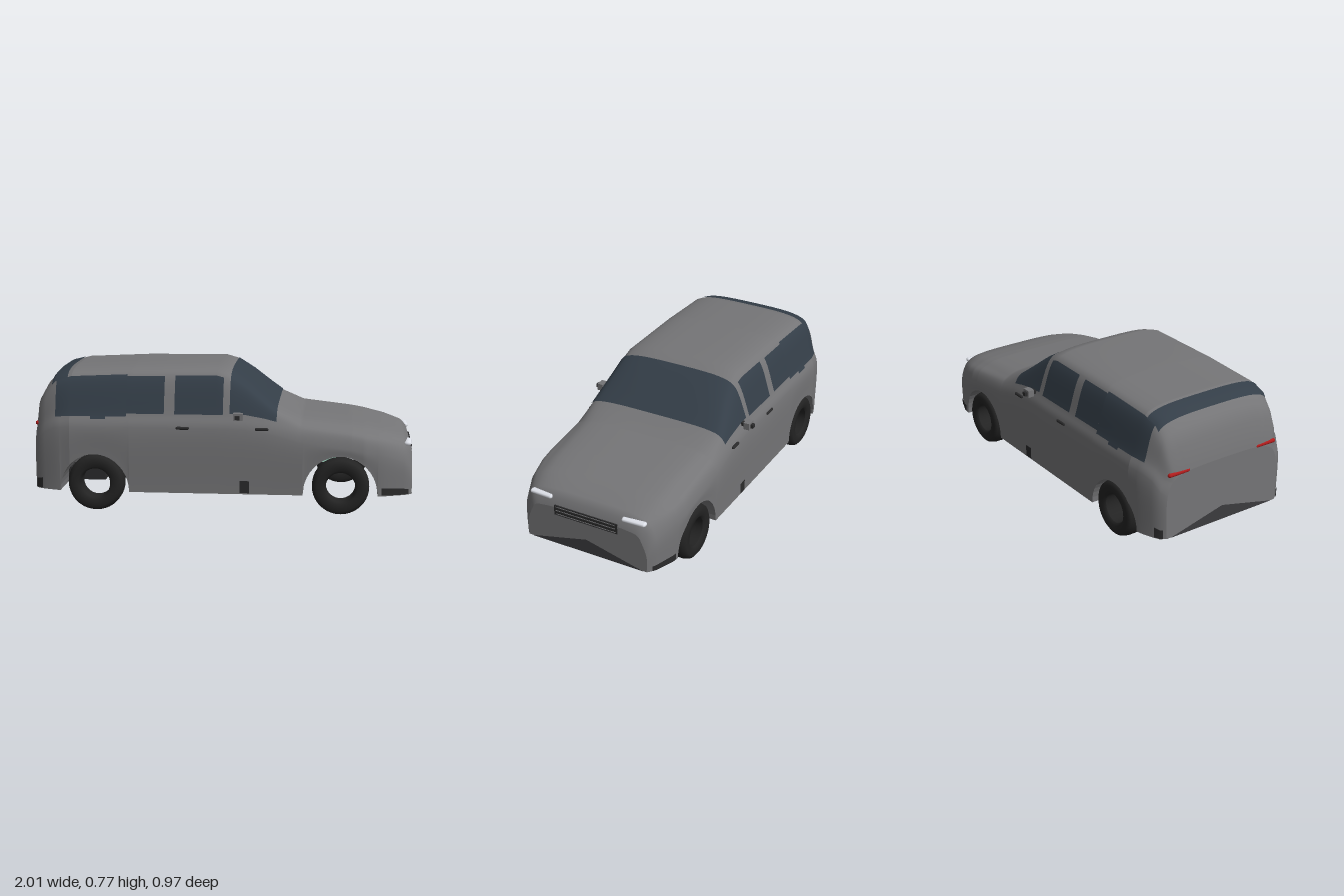
import * as THREE from 'three';

const mat = (color, side = THREE.FrontSide) => new THREE.MeshStandardMaterial({ color, side });
const paint = mat(0x757577), glass = mat(0x343e48), dark = mat(0x2b2b2c), rubber = mat(0x232323);
const darkThin = mat(0x3c3c3e, THREE.DoubleSide), white = mat(0xdfe2ea), red = mat(0xb01c1c), green = mat(0xa5dcc6);

// Body stations: x, top height, half width, shoulder height, roof half width, roof edge drop
const STATIONS = [
  [-1, .46, .35, .41, .30, .03], [-.98, .60, .38, .44, .33, .05], [-.94, .67, .40, .49, .335, .05],
  [-.885, .73, .42, .515, .34, .05], [-.8, .75, .44, .525, .345, .045], [-.47, .765, .44, .525, .345, .045],
  [-.03, .77, .44, .525, .34, .045], [.04, .75, .44, .525, .34, .045], [.13, .69, .44, .52, .35, .04],
  [.225, .61, .44, .505, .37, .03], [.29, .56, .44, .49, .385, .028], [.41, .51, .44, .455, .38, .03],
  [.68, .48, .44, .425, .37, .03], [.75, .467, .44, .41, .37, .03], [.865, .44, .42, .385, .36, .03],
  [.955, .41, .385, .35, .33, .03], [.985, .38, .365, .32, .315, .025], [1, .33, .35, .27, .30, .02],
];
const FLOOR = .11, ARCHES = [{ x: -.67, r: .185, h: .2 }, { x: .625, r: .195, h: .21 }];

function station(x) {
  let i = 0;
  while (i < STATIONS.length - 2 && x > STATIONS[i + 1][0]) i++;
  const a = STATIONS[i], b = STATIONS[i + 1], t = (x - a[0]) / (b[0] - a[0]);
  return a.map((v, k) => v + (b[k] - v) * t);
}

// Lower edge of the body, rising over the wheels
function bottom(x) {
  for (const a of ARCHES) {
    const d = (x - a.x) / a.r;
    if (Math.abs(d) < 1) return FLOOR + a.h * Math.sqrt(1 - d * d);
  }
  return FLOOR;
}

// Cross-section at x; v = 0 is the left sill, 5 the centre of the roof, 10 the right sill
function section(x) {
  const [, h, w, s, r, d] = station(x);
  const half = [[w, bottom(x)], [w, s - .07], [w - .025, s], [r, h - d], [r - .06, h - d * .33], [0, h]];
  const all = [...half, ...half.slice(0, 5).reverse().map(([z, y]) => [-z, y])];
  return new THREE.CatmullRomCurve3(all.map(([z, y]) => new THREE.Vector3(x, y, z)));
}
const point = (x, v) => section(x).getPoint(Math.min(Math.max(v / 10, 0), 1));

// Surface through a grid of points; faces toward (row direction) x (column direction)
function grid(rows) {
  const n = rows[0].length, index = [];
  for (let i = 0; i < rows.length - 1; i++) for (let j = 0; j < n - 1; j++) {
    const a = i * n + j, b = a + n;
    index.push(a, b, b + 1, a, b + 1, a + 1);
  }
  const g = new THREE.BufferGeometry().setFromPoints(rows.flat());
  g.setIndex(index);
  g.computeVertexNormals();
  return g;
}

const range = (a, b, n) => Array.from({ length: n + 1 }, (_, i) => a + (b - a) * i / n);

// Panel lying just above the body skin
function panel(x0, x1, v0, v1) {
  const xs = [x0, ...STATIONS.map(s => s[0]).filter(x => x > x0 && x < x1), x1];
  const vs = range(v0, v1, Math.ceil((v1 - v0) * 8));
  return grid(xs.map(x => vs.map(v => {
    const e = .002;
    const du = point(Math.min(x + e, 1), v).sub(point(Math.max(x - e, -1), v));
    const dv = point(x, v + .02).sub(point(x, v - .02));
    return point(x, v).addScaledVector(du.cross(dv).normalize(), .004);
  })));
}

export function createModel() {
  const model = new THREE.Group();
  const add = (name, geometry, material, x = 0, y = 0, z = 0) => {
    const m = new THREE.Mesh(geometry, material);
    m.name = name;
    m.position.set(x, y, z);
    model.add(m);
    return m;
  };
  const box = (name, material, w, h, d, x, y, z) => add(name, new THREE.BoxGeometry(w, h, d), material, x, y, z);

  // Body shell, with extra sections around the arches
  const xs = STATIONS.map(s => s[0]);
  for (const a of ARCHES) {
    for (const t of range(0, Math.PI, 20)) xs.push(a.x - a.r * Math.cos(t));
    xs.push(a.x - a.r - .001, a.x + a.r + .001);
  }
  xs.sort((a, b) => a - b);
  const vs = range(0, 10, 80);
  add('bodyShell', grid(xs.map(x => section(x).getPoints(80))), paint);
  add('underside', grid(xs.map(x => [point(x, 10), point(x, 0)])).toNonIndexed(), paint).geometry.computeVertexNormals();

  // Flat nose and tail panels
  const lower = vs.filter(v => v <= 5);
  add('nosePanel', grid(lower.map(v => [point(1, 10 - v), point(1, v)])), paint);
  add('tailPanel', grid(lower.map(v => [point(-1, v), point(-1, 10 - v)])), paint);

  // Glass
  add('windscreen', panel(.045, .29, 2.05, 7.95), glass);
  add('rearWindow', panel(-.905, -.82, 3, 7), glass);
  const sides = [[-.88, -.5, 1.8, 3.05], [-.69, -.61, 1.6, 1.85], [-.5, -.3, 2, 2.95], [-.245, .01, 2, 2.97]];
  for (const [a, b, v0, v1] of sides) {
    add('leftSideWindow', panel(a, b, v0, v1), glass);
    add('rightSideWindow', panel(a, b, 10 - v1, 10 - v0), glass);
  }

  // Dark lower trim
  for (const [a, b] of [[-.99, -.955], [.1, .15], [.84, .98]]) {
    add('leftSillTrim', panel(a, b, .02, .2), dark);
    add('rightSillTrim', panel(a, b, 9.8, 9.98), dark);
  }
  const wedge = new THREE.Shape([new THREE.Vector2(-.33, FLOOR), new THREE.Vector2(.33, FLOOR), new THREE.Vector2(0, .19)]);
  for (const s of [-1, 1]) {
    add(s > 0 ? 'frontLowerTrim' : 'rearLowerTrim', new THREE.ShapeGeometry(wedge), darkThin, s * 1.002).rotation.y = s * Math.PI / 2;
  }

  // Grille with slats
  box('grille', dark, .03, .056, .37, .988, .313, 0);
  for (const y of [.293, .313, .333]) box('grilleSlat', paint, .006, .004, .35, 1.002, y, 0);

  // Wheels: hollow rounded tyres
  const tyre = [[.078, -.045], [.09, -.058], [.125, -.06], [.143, -.047], [.15, -.02], [.15, .02],
    [.143, .047], [.125, .06], [.09, .058], [.078, .045], [.078, -.045]].map(([r, y]) => new THREE.Vector2(r, y));
  const tyreGeometry = new THREE.LatheGeometry(tyre, 40);

  for (const s of [-1, 1]) {
    const side = s > 0 ? 'left' : 'right';
    add(side + 'FrontWheel', tyreGeometry, rubber, .627, .153, s * .38).rotation.x = Math.PI / 2;
    add(side + 'RearWheel', tyreGeometry, rubber, -.666, .153, s * .38).rotation.x = Math.PI / 2;

    // Lights
    const lamp = new THREE.CapsuleGeometry(.012, .11, 4, 10);
    const head = add(side + 'Headlight', lamp, white, .977, .373, s * .27);
    head.rotation.set(Math.PI / 2, 0, s * .04);
    head.scale.x = 1.6;
    add(side + 'TailLight', lamp, red, -.99, .455, s * .275).rotation.x = Math.PI / 2;

    // Mirrors and door handles
    box(side + 'MirrorArm', dark, .025, .02, .09, .09, .522, s * .44);
    box(side + 'MirrorHousing', paint, .05, .038, .034, .092, .524, s * .453);
    for (const x of [-.2, .215]) {
      add(side + 'DoorHandle', new THREE.CapsuleGeometry(.008, .055, 3, 8), dark, x, .457, s * .441).rotation.z = Math.PI / 2;
    }
  }

  // Running gear seen in the wheel wells
  box('engineBlock', green, .12, .1, .22, .56, .27, 0);
  add('gearbox', new THREE.CylinderGeometry(.045, .06, .2, 16), green, .6, .22, .02).rotation.x = Math.PI / 2;
  add('driveCasing', new THREE.CylinderGeometry(.035, .035, .12, 16), green, .52, .25, -.05).rotation.z = Math.PI / 2;
  box('silencer', dark, .2, .065, .14, -.74, .168, .2);

  return model;
}
